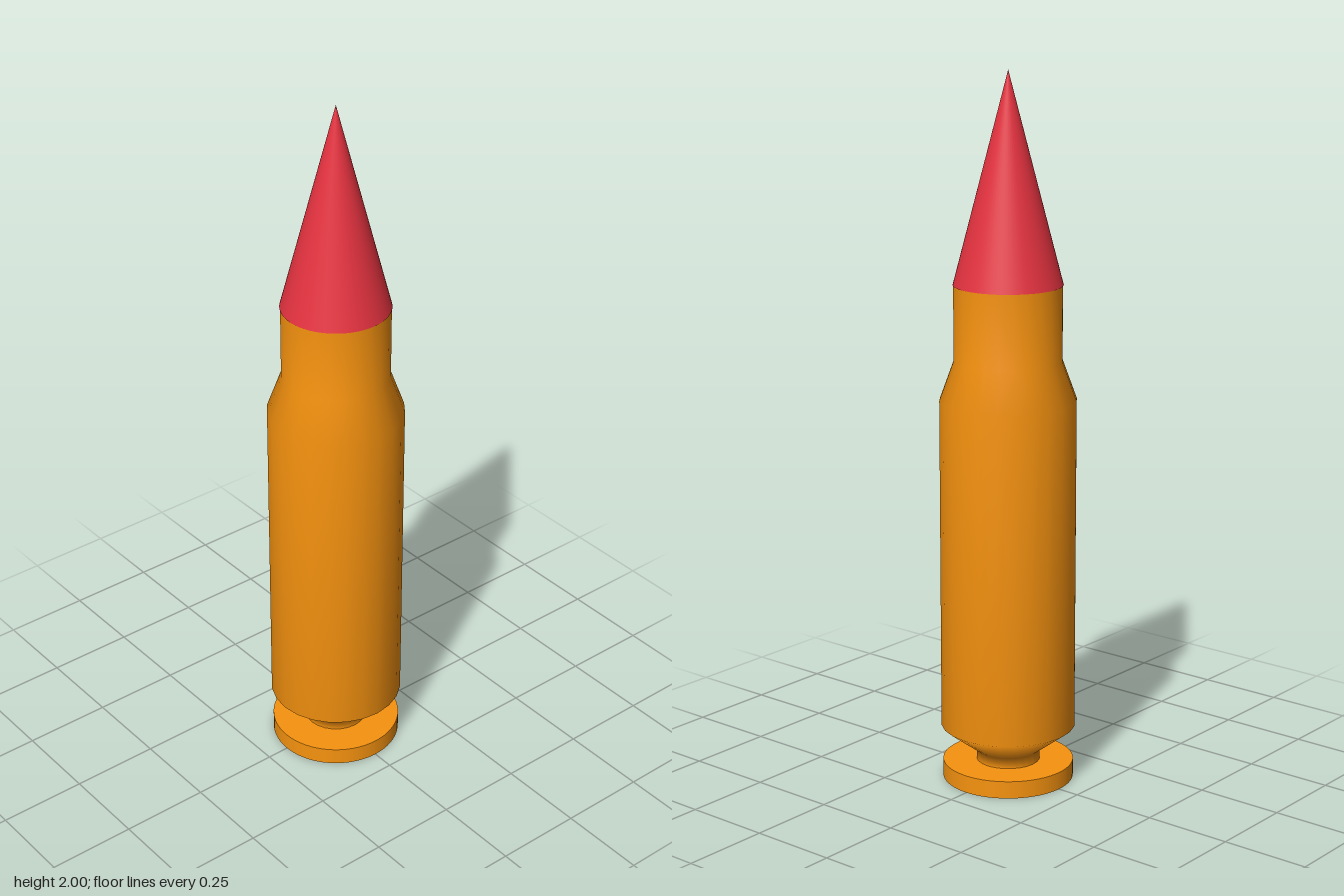
import * as THREE from 'three';

export function createModel() {
  const model = new THREE.Group();
  const brass = new THREE.MeshStandardMaterial({ color: 0xf7930f });
  const red = new THREE.MeshStandardMaterial({ color: 0xe63340 });

  const add = (name, geometry, material, y = 0) => {
    const mesh = new THREE.Mesh(geometry, material);
    mesh.name = name;
    mesh.position.y = y;
    model.add(mesh);
  };

  // Flat disc at the base
  add('rim', new THREE.CylinderGeometry(0.185, 0.185, 0.05, 64), brass, 0.025);

  // Extractor groove, tapered body, shoulder and neck in one smooth profile
  const profile = [
    [0.09, 0.05], [0.09, 0.08], [0.19, 0.155],
    [0.19, 1.1], [0.15, 1.21], [0.15, 1.42],
  ].map(([r, y]) => new THREE.Vector2(r, y));
  add('casing', new THREE.LatheGeometry(profile, 24), brass);

  // Pointed tip
  add('tip', new THREE.ConeGeometry(0.151, 0.58, 64), red, 1.71);

  return model;
}
